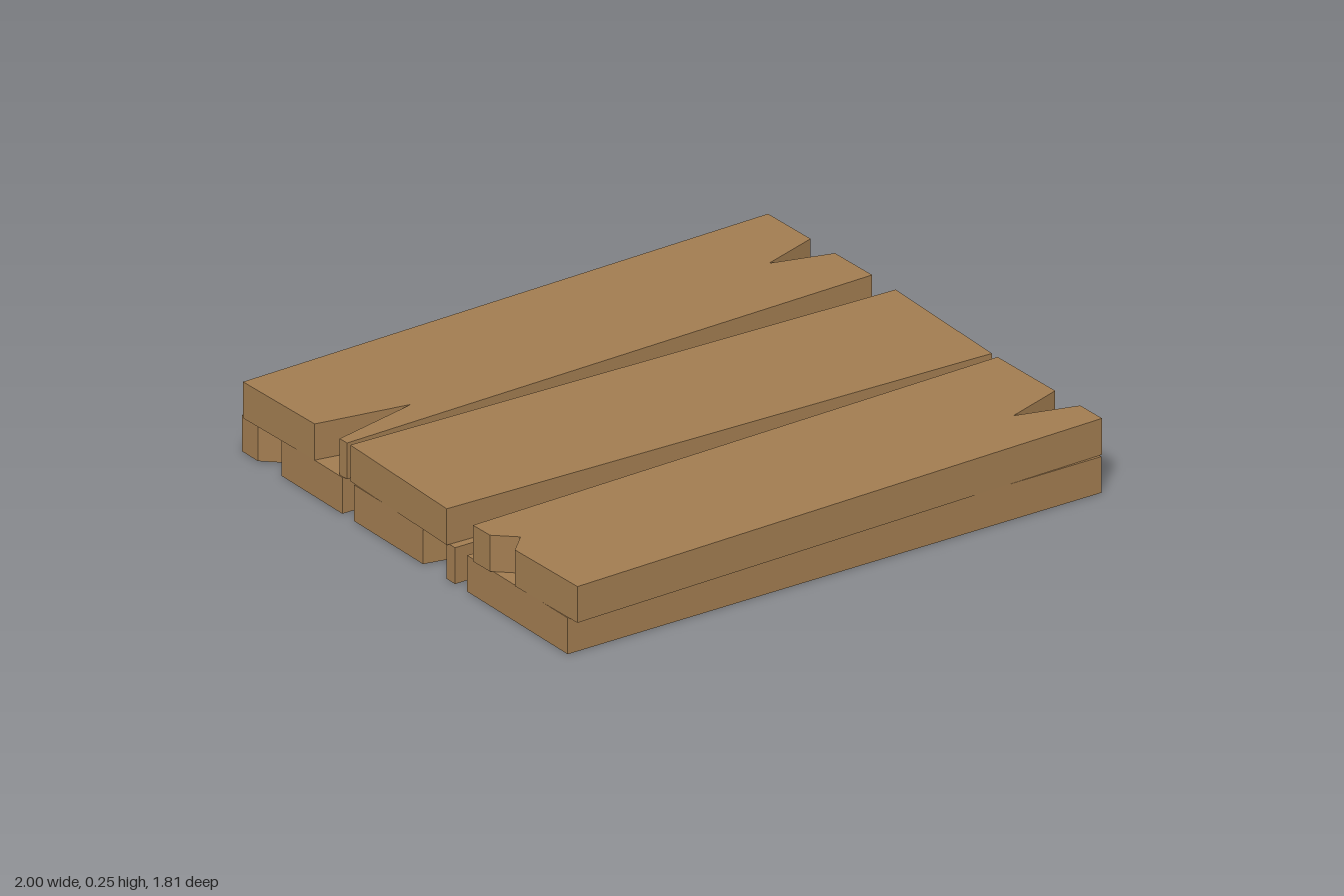
import * as THREE from 'three';

const LAYER = 0.1225; // thickness of one layer of planks

// Plank from its four corners [x, z] (back left, back right, front right, front left)
// with wedge-shaped splits [z start, tip x, tip z, z end] in the ends.
function makePlank(name, material, corners, base, { left, right } = {}) {
  const [bl, br, fr, fl] = corners;
  const onEdge = (a, b, z) => [a[0] + (b[0] - a[0]) * (z - a[1]) / (b[1] - a[1]), z];
  const points = [bl, br];
  if (right) points.push(onEdge(br, fr, right[0]), [right[1], right[2]], onEdge(br, fr, right[3]));
  points.push(fr, fl);
  if (left) points.push(onEdge(bl, fl, left[3]), [left[1], left[2]], onEdge(bl, fl, left[0]));

  const shape = new THREE.Shape(points.map(([x, z]) => new THREE.Vector2(x, -z)));
  const geometry = new THREE.ExtrudeGeometry(shape, { depth: LAYER, bevelEnabled: false });
  geometry.rotateX(-Math.PI / 2);
  const mesh = new THREE.Mesh(geometry, material);
  mesh.name = name;
  mesh.position.y = base;
  return mesh;
}

// Corners of an unrotated plank
const straight = (z0, z1) => [[-0.99, z0], [0.99, z0], [0.99, z1], [-0.99, z1]];

export function createModel() {
  const group = new THREE.Group();
  group.name = 'plankFloor';
  const wood = new THREE.MeshStandardMaterial({ color: 0xa17c50 });
  wood.name = 'wood';

  // Lower layer: straight planks
  group.add(
    makePlank('lowerPlankBack', wood, straight(-0.875, -0.34), 0, {
      left: [-0.79, -0.925, -0.73, -0.665],
      right: [-0.573, 0.79, -0.51, -0.446],
    }),
    makePlank('lowerPlankMiddle', wood, straight(-0.277, 0.26), 0, {
      left: [0.09, -0.67, 0.153, 0.215],
      right: [-0.053, 0.65, 0.01, 0.073],
    }),
    makePlank('lowerPlankFront', wood, straight(0.325, 0.86), 0),
  );

  // Upper layer: planks laid slightly askew
  group.add(
    makePlank('upperPlankBack', wood,
      [[-1, -0.855], [0.985, -0.908], [1, -0.375], [-0.985, -0.322]], LAYER, {
        left: [-0.488, -0.67, -0.433, -0.36],
        right: [-0.69, 0.79, -0.622, -0.565],
      }),
    makePlank('upperPlankMiddle', wood,
      [[-0.985, -0.305], [1, -0.25], [0.985, 0.285], [-1, 0.23]], LAYER),
    makePlank('upperPlankFront', wood,
      [[-1, 0.37], [0.985, 0.315], [1, 0.85], [-0.985, 0.905]], LAYER, {
        left: [0.457, -0.928, 0.52, 0.585],
        right: [0.61, 0.79, 0.68, 0.738],
      }),
  );
  return group;
}
